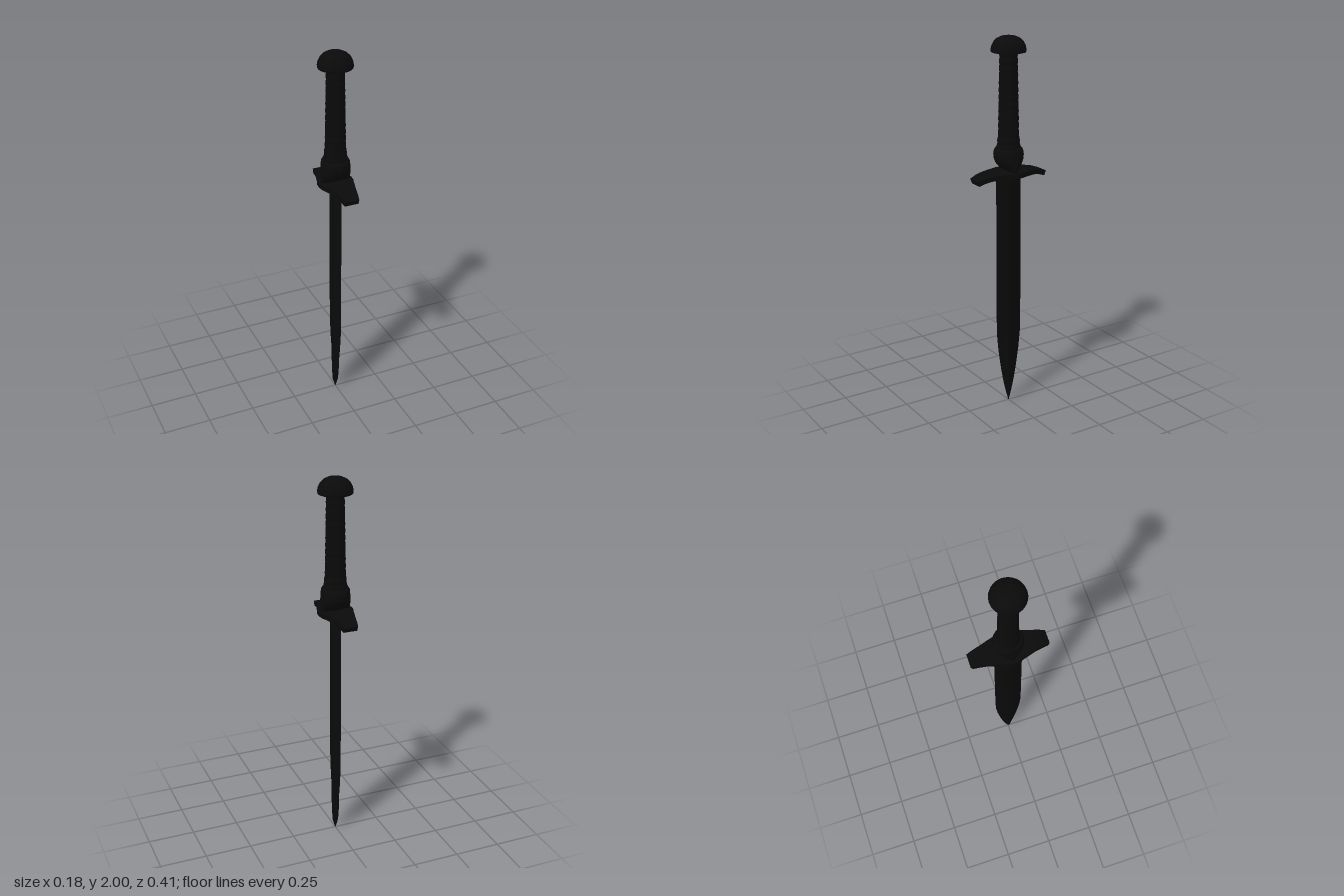
import * as THREE from 'three';

const mat = (color, flatShading = false) => new THREE.MeshStandardMaterial({ color, flatShading });

// Skins a list of equal-length point rings and closes both ends.
function loft(rings) {
  const pos = [], idx = [], n = rings[0].length;
  rings.forEach(r => r.forEach(p => pos.push(...p)));
  for (let i = 0; i < rings.length - 1; i++) {
    for (let j = 0; j < n; j++) {
      const a = i * n + j, b = i * n + (j + 1) % n;
      idx.push(a, a + n, b, b, a + n, b + n);
    }
  }
  const last = (rings.length - 1) * n;
  for (let j = 1; j < n - 1; j++) {
    idx.push(0, j, j + 1);
    idx.push(last, last + j + 1, last + j);
  }
  const g = new THREE.BufferGeometry();
  g.setAttribute('position', new THREE.Float32BufferAttribute(pos, 3));
  g.setIndex(idx);
  g.computeVertexNormals();
  return g;
}

const lathe = (points, sides) =>
  new THREE.LatheGeometry(points.map(([r, y]) => new THREE.Vector2(r, y)), sides);

export function createModel() {
  const group = new THREE.Group();
  const steel = mat(0x0a0a0a, true);
  const leather = mat(0x0a0a0a);
  const add = (name, geometry, material) => {
    const mesh = new THREE.Mesh(geometry, material);
    mesh.name = name;
    group.add(mesh);
  };

  // Blade: bevelled section [y, half thickness, half width], curving in to the tip
  const blade = [
    [0, 0.001, 0.001], [0.05, 0.015, 0.016], [0.12, 0.018, 0.033], [0.2, 0.018, 0.048],
    [0.3, 0.018, 0.063], [0.4, 0.018, 0.073], [0.5, 0.018, 0.075], [1.3, 0.018, 0.075],
  ];
  add('blade', loft(blade.map(([y, t, w]) => {
    const f = w * 0.22;
    return [[t, y, -f], [t, y, f], [0, y, w], [-t, y, f], [-t, y, -f], [0, y, -w]];
  })), steel);

  // Crossguard: half of it as [z, half width, top, bottom], mirrored to the other end
  const half = [
    [0.035, 0.086, 1.31, 1.285], [0.05, 0.079, 1.31, 1.285], [0.09, 0.067, 1.31, 1.285],
    [0.13, 0.055, 1.308, 1.283], [0.17, 0.046, 1.301, 1.275], [0.207, 0.037, 1.288, 1.262],
  ];
  const guard = [
    ...half.map(([z, ...rest]) => [-z, ...rest]).reverse(),
    [0, 0.09, 1.31, 1.285],
    ...half,
  ];
  add('crossguard', loft(guard.map(([z, w, top, bottom]) => {
    const lean = z * 0.05 * Math.min(1, Math.abs(z) / 0.2);
    return [[w, top, z], [w, bottom, z - lean], [-w, bottom, z - lean], [-w, top, z]];
  })), steel);

  // Collar: wedge-shaped foot on the guard, opening to a round sleeve
  const collar = [
    [1.305, 0.078, 0.006], [1.325, 0.08, 0.035], [1.35, 0.08, 0.062], [1.375, 0.077, 0.076],
    [1.4, 0.075, 0.08], [1.42, 0.073, 0.076], [1.432, 0.066, 0.068],
  ];
  add('collar', loft(collar.map(([y, rx, rz]) => Array.from({ length: 20 }, (_, i) => {
    const a = i / 20 * Math.PI * 2;
    return [rx * Math.cos(a), y, rz * Math.sin(a)];
  }))), steel);

  // Grip: tapering handle with shallow wrapped bands
  const grip = [], bands = 14;
  for (let i = 0; i <= bands * 4; i++) {
    const k = i / (bands * 4);
    const flare = 0.008 * Math.max(0, 1 - k * 6);
    const ridge = 0.0025 * Math.abs(Math.sin(k * bands * Math.PI));
    grip.push([0.053 - 0.009 * k + flare + ridge, 1.42 + 0.51 * k]);
  }
  add('grip', lathe(grip, 24), leather);

  // Pommel: mushroom cap with a flat underside
  const pommel = [
    [0, 1.922], [0.088, 1.92], [0.09, 1.93], [0.086, 1.95], [0.076, 1.97],
    [0.06, 1.986], [0.04, 1.996], [0.02, 2], [0, 2],
  ];
  add('pommel', lathe(pommel, 24), steel);

  return group;
}
